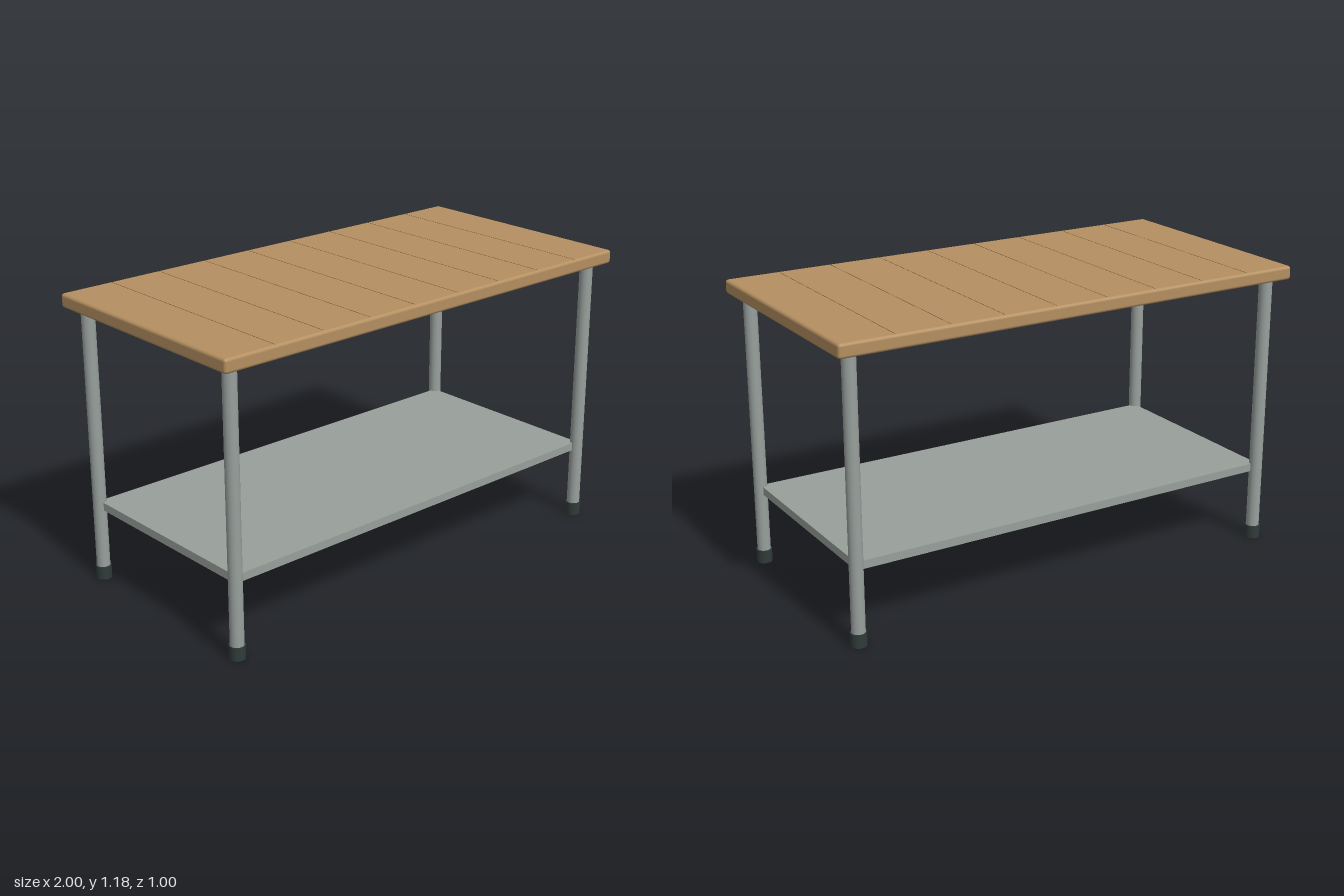
import * as THREE from 'three';
import { RoundedBoxGeometry } from 'three/addons/geometries/RoundedBoxGeometry.js';

const material = (name, color) => {
  const m = new THREE.MeshStandardMaterial({ color });
  m.name = name;
  return m;
};

export function createModel() {
  const wood = material('wood', 0xb48f60);
  const seamBrown = material('seam brown', 0x6e5233);
  const steel = material('grey steel', 0x98a09c);
  const rubber = material('dark rubber', 0x2f3b39);

  const table = new THREE.Group();
  table.name = 'workTable';

  const add = (name, geometry, mat, x, y, z) => {
    const mesh = new THREE.Mesh(geometry, mat);
    mesh.name = name;
    mesh.position.set(x, y, z);
    table.add(mesh);
    return mesh;
  };

  // Heights and leg positions
  const topY = 1.184, topThickness = 0.056, underside = topY - topThickness;
  const legX = 0.93, legZ = 0.43, footHeight = 0.054;

  // Wooden top with softly rounded edges
  add('tableTop', new RoundedBoxGeometry(2, topThickness, 1, 4, 0.012), wood, 0, topY - topThickness / 2, 0);

  // Hairline seams dividing the top into nine planks
  const planks = 9;
  const seam = new THREE.BoxGeometry(0.002, 0.001, 0.976);
  for (let i = 1; i < planks; i++) {
    add('plankSeam', seam, seamBrown, -1 + (2 * i) / planks, topY, 0);
  }

  // Lower shelf, its corners running into the legs
  add('shelf', new THREE.BoxGeometry(legX * 2, 0.033, legZ * 2), steel, 0, 0.316, 0);

  // Four tubular legs with rubber feet
  const legHeight = underside - 0.02;
  const leg = new THREE.CylinderGeometry(0.027, 0.027, legHeight, 32);
  const foot = new THREE.CylinderGeometry(0.0315, 0.0315, footHeight, 32);
  for (const [side, sx] of [['left', 1], ['right', -1]]) {
    for (const [end, sz] of [['Front', 1], ['Back', -1]]) {
      add(`${side}${end}Leg`, leg, steel, sx * legX, underside - legHeight / 2, sz * legZ);
      add(`${side}${end}Foot`, foot, rubber, sx * legX, footHeight / 2, sz * legZ);
    }
  }

  return table;
}
